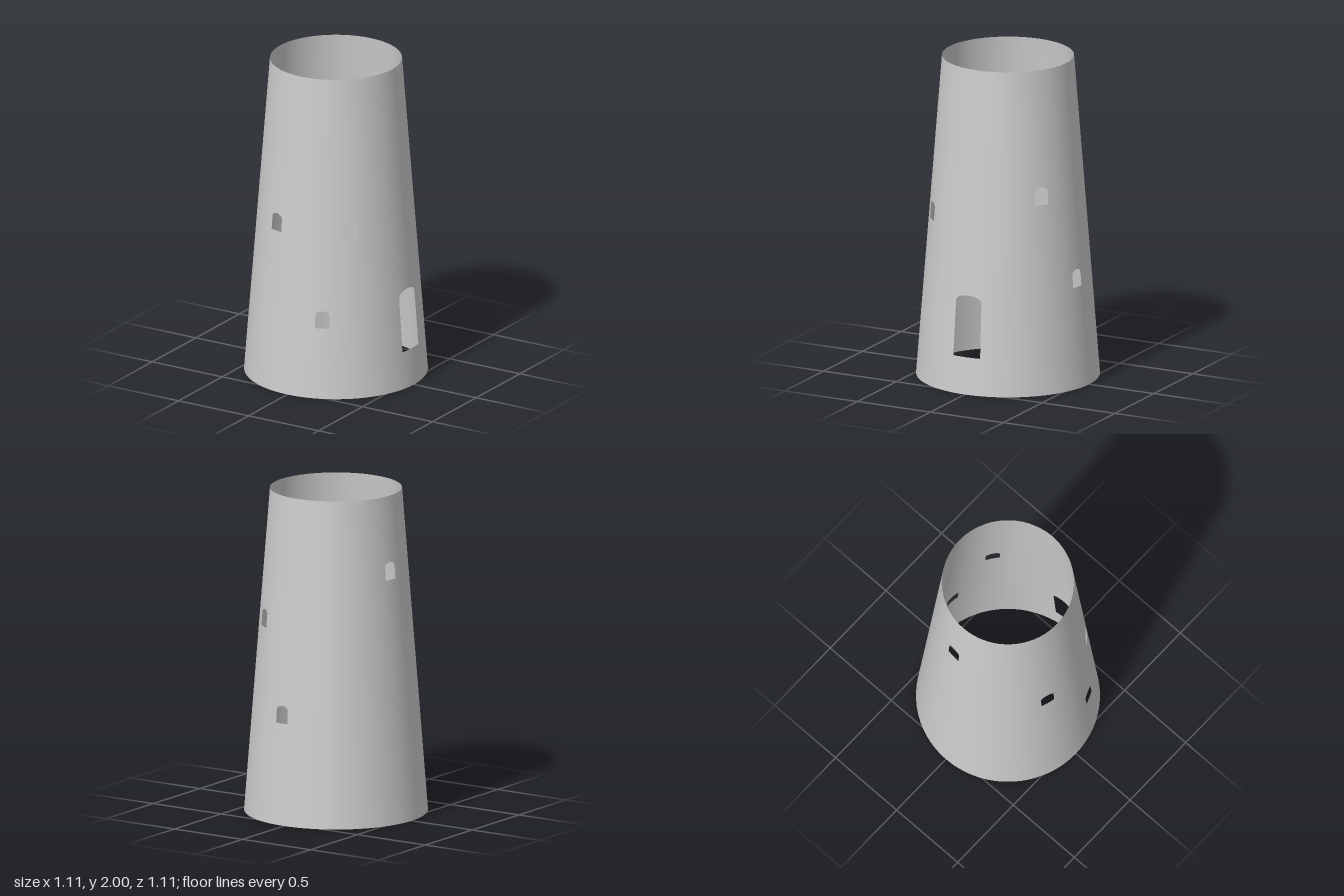
import * as THREE from 'three';

const HEIGHT = 2, BASE_R = 0.557, TOP_R = 0.4, SEGMENTS = 72, ARCH_STEPS = 12;
const radiusAt = (y) => BASE_R + (TOP_R - BASE_R) * (y / HEIGHT);

// Arched openings: angle in degrees from the front towards +x, sill height
const arch = (deg, sill, halfWidth, height, rise) => ({ deg, sill, halfWidth, height, rise });
const windowAt = (deg, sill) => arch(deg, sill, 0.044, 0.108, 0.028);
const openings = [
  arch(90, 0.23, 0.089, 0.38, 0.038), // doorway
  windowAt(22.8, 0.44),
  windowAt(43, 1.0),
  windowAt(144, 1.17),
  windowAt(174, 0.62),
  windowAt(263.5, 1.49),
  windowAt(342.8, 1.0),
];

// Upright columns of the wall; columns inside an opening carry its sill and arch height
function makeColumns() {
  const spans = openings.map((o) => {
    const mid = THREE.MathUtils.degToRad(o.deg);
    const r = radiusAt(o.sill + o.height / 2);
    const half = Math.asin(o.halfWidth / r);
    const columns = [];
    for (let k = 0; k <= ARCH_STEPS; k++) {
      const t = (Math.PI * k) / ARCH_STEPS;
      columns.push({
        angle: mid + Math.asin((-Math.cos(t) * o.halfWidth) / r),
        opening: o,
        top: o.sill + o.height - o.rise * (1 - Math.sin(t)),
      });
    }
    return { mid, half, columns };
  });
  const columns = spans.flatMap((s) => s.columns);
  for (let i = 0; i <= SEGMENTS; i++) {
    const angle = (i / SEGMENTS) * Math.PI * 2;
    if (spans.every((s) => Math.abs(angle - s.mid) > s.half + 0.002)) columns.push({ angle });
  }
  return columns.sort((a, b) => a.angle - b.angle);
}

// Tapered, open-ended wall built as strips between neighbouring columns
function wallGeometry() {
  const positions = [], normals = [];
  const slope = (BASE_R - TOP_R) / HEIGHT, len = Math.hypot(1, slope);
  const vertex = (angle, y) => {
    const s = Math.sin(angle), c = Math.cos(angle), r = radiusAt(y);
    positions.push(s * r, y, c * r);
    normals.push(s / len, slope / len, c / len);
  };
  const strip = (a, b, aLow, bLow, aHigh, bHigh) => {
    vertex(a, aLow); vertex(b, bLow); vertex(b, bHigh);
    vertex(a, aLow); vertex(b, bHigh); vertex(a, aHigh);
  };
  const columns = makeColumns();
  for (let i = 0; i < columns.length - 1; i++) {
    const a = columns[i], b = columns[i + 1];
    if (a.opening && a.opening === b.opening) {
      strip(a.angle, b.angle, 0, 0, a.opening.sill, a.opening.sill);
      strip(a.angle, b.angle, a.top, b.top, HEIGHT, HEIGHT);
    } else {
      strip(a.angle, b.angle, 0, 0, HEIGHT, HEIGHT);
    }
  }
  const geometry = new THREE.BufferGeometry();
  geometry.setAttribute('position', new THREE.Float32BufferAttribute(positions, 3));
  geometry.setAttribute('normal', new THREE.Float32BufferAttribute(normals, 3));
  return geometry;
}

export function createModel() {
  const group = new THREE.Group();
  group.name = 'tower';
  const material = new THREE.MeshStandardMaterial({ color: 0xcccccc, side: THREE.DoubleSide });
  const wall = new THREE.Mesh(wallGeometry(), material);
  wall.name = 'towerWall';
  group.add(wall);
  return group;
}
